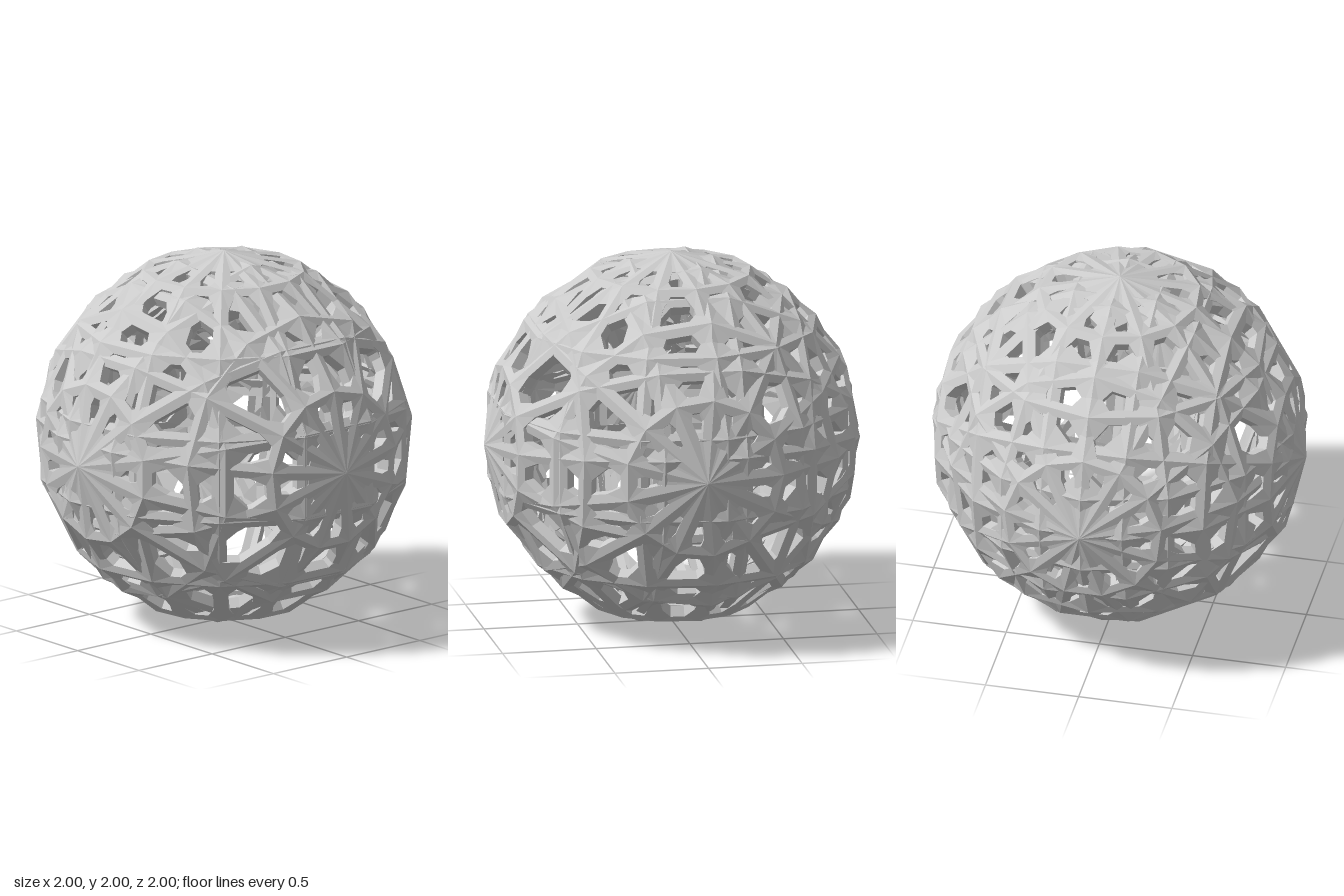
import * as THREE from 'three';

const SEGMENTS = 13;
// polar angle (degrees) and radius of each ring, pole to pole
const RINGS = [[0, 1], [25.2, 0.995], [51.4, 0.99], [77.1, 0.99],
  [102.9, 0.99], [128.6, 0.99], [154.8, 0.995], [180, 1]];
const THICKNESS = 0.06; // shell depth
const SINK = 0.008;     // hole rims sit slightly below the ribs

// point on a ring; a cell is centred on +z
function ringPoint(ring, seg) {
  const [deg, r] = RINGS[ring];
  const a = THREE.MathUtils.degToRad(deg);
  const phi = (seg - 0.5) * Math.PI * 2 / SEGMENTS;
  return new THREE.Vector3(
    r * Math.sin(a) * Math.sin(phi), r * Math.cos(a), r * Math.sin(a) * Math.cos(phi));
}

// hole outline: the cell inset by the rib half-width, with its corners cut off
function holeOutline(cell, rib) {
  const n = cell.length;
  const normal = cell[1].clone().sub(cell[0]).cross(cell[2].clone().sub(cell[0])).normalize();
  const inward = cell.map((p, i) =>
    normal.clone().cross(cell[(i + 1) % n].clone().sub(p)).normalize());
  const inset = cell.map((p, i) => {
    const a = inward[(i + n - 1) % n], b = inward[i];
    return p.clone().addScaledVector(a.clone().add(b), rib / (1 + a.dot(b)));
  });
  const hole = [];
  inset.forEach((p, i) => {
    hole.push(p.clone().lerp(inset[(i + n - 1) % n], 0.23), p.clone().lerp(inset[(i + 1) % n], 0.23));
  });
  return hole.map(p => p.multiplyScalar(1 - SINK));
}

// hollow faceted ball with one hole through every cell
function latticeGeometry(rib) {
  const pos = [];
  const tri = (...pts) => pts.forEach(p => pos.push(p.x, p.y, p.z));
  const quad = (a, b, c, d) => { tri(a, b, c); tri(a, c, d); };
  const inner = p => p.clone().multiplyScalar(1 - THICKNESS);

  function addCell(cell) {
    const n = cell.length;
    const hole = holeOutline(cell, rib);
    const cellIn = cell.map(inner), holeIn = hole.map(inner);
    for (let i = 0; i < n; i++) {
      const j = (i + 1) % n;
      // outer skin
      quad(cell[i], cell[j], hole[2 * j], hole[2 * i + 1]);
      tri(cell[i], hole[2 * i + 1], hole[2 * i]);
      // inner skin
      quad(cellIn[j], cellIn[i], holeIn[2 * i + 1], holeIn[2 * j]);
      tri(cellIn[i], holeIn[2 * i], holeIn[2 * i + 1]);
    }
    // walls of the hole
    hole.forEach((p, i) => {
      const k = (i + 1) % hole.length;
      quad(p, hole[k], holeIn[k], holeIn[i]);
    });
  }

  const last = RINGS.length - 1;
  for (let s = 0; s < SEGMENTS; s++) {
    for (let r = 0; r < last; r++) {
      const cell = [ringPoint(r, s)];
      if (r < last - 1) cell.push(ringPoint(r + 1, s));
      else cell.push(ringPoint(last, s));
      if (r < last - 1) cell.push(ringPoint(r + 1, s + 1));
      if (r > 0) cell.push(ringPoint(r, s + 1));
      addCell(cell);
    }
  }
  const g = new THREE.BufferGeometry();
  g.setAttribute('position', new THREE.Float32BufferAttribute(pos, 3));
  g.computeVertexNormals();
  return g;
}

export function createModel() {
  const model = new THREE.Group();
  model.name = 'latticeBall';
  const material = new THREE.MeshStandardMaterial({ color: 0xcccccc, flatShading: true });

  // three interpenetrating shells, one with its poles on each axis
  const addShell = (name, rib, rx, rz) => {
    const shell = new THREE.Mesh(latticeGeometry(rib), material);
    shell.name = name;
    shell.rotation.set(rx, 0, rz);
    shell.position.y = 1;
    model.add(shell);
  };
  addShell('uprightShell', 0.04, 0, 0);
  addShell('frontToBackShell', 0.04, Math.PI / 2, 0);
  addShell('sideToSideShell', 0.046, 0, Math.PI / 2);
  return model;
}
